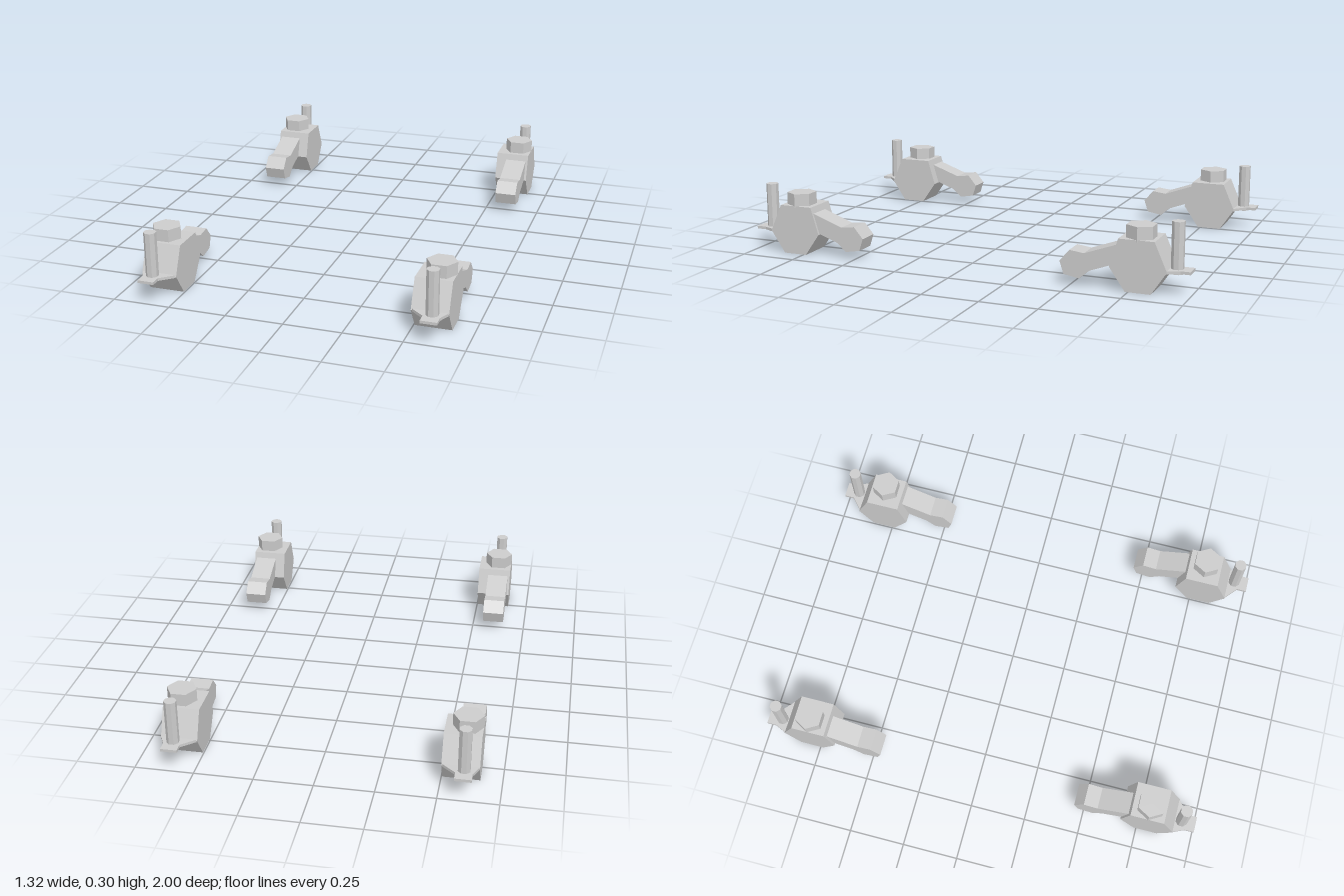
import * as THREE from 'three';

const steel = new THREE.MeshStandardMaterial({ color: 0xcccccc });
steel.name = 'plain grey';

// Profiles as [z, y], facing +z
const BODY = [[0.845, 0], [0.91, 0.097], [0.857, 0.217], [0.706, 0.217], [0.67, 0.097], [0.738, 0]];
const ARM = [[0.72, 0.197], [0.56, 0.139], [0.497, 0.147], [0.455, 0.097],
  [0.473, 0.043], [0.54, 0.031], [0.583, 0.068], [0.72, 0.118]];
// Plate outline as [x, z], for the +x side
const PLATE = [[0.505, 0.905], [0.565, 0.957], [0.565, 1], [0.635, 1], [0.635, 0.957], [0.659, 0.905]];

function extrude(points, depth) {
  const shape = new THREE.Shape(points.map(([a, b]) => new THREE.Vector2(a, b)));
  return new THREE.ExtrudeGeometry(shape, { depth, bevelEnabled: false }).translate(0, 0, -depth / 2);
}

// Side profile extruded across x
function slab(profile, sz, width, x) {
  return extrude(profile.map(([z, y]) => [z * sz, y]), width).rotateY(-Math.PI / 2).translate(x, 0, 0);
}

function prism(radius, height, sides, turn, x, y, z) {
  return new THREE.CylinderGeometry(radius, radius, height, sides)
    .rotateY(turn).toNonIndexed().translate(x, y, z);
}

function createUnit(sx, sz) {
  const unit = new THREE.Group();
  const add = (name, geometry) => {
    geometry.computeVertexNormals();
    const mesh = new THREE.Mesh(geometry, steel);
    mesh.name = name;
    unit.add(mesh);
  };
  add('body', slab(BODY, sz, 0.155, 0.582 * sx));
  add('arm', slab(ARM, sz, 0.098, 0.6 * sx));
  add('hexCap', prism(0.064, 0.062, 6, Math.PI / 2, 0.597 * sx, 0.24, 0.785 * sz));
  add('post', prism(0.027, 0.215, 8, Math.PI / 8, 0.599 * sx, 0.19, 0.936 * sz));
  // Flat tab carrying the post
  add('plate', extrude(PLATE.map(([x, z]) => [x * sx, z * sz]), 0.012)
    .rotateX(Math.PI / 2).translate(0, 0.097, 0));
  return unit;
}

export function createModel() {
  const model = new THREE.Group();
  model.name = 'cornerUnits';
  for (const sz of [1, -1]) {
    for (const sx of [1, -1]) {
      const unit = createUnit(sx, sz);
      unit.name = `${sz > 0 ? 'front' : 'back'}${sx > 0 ? 'Left' : 'Right'}Unit`;
      model.add(unit);
    }
  }
  return model;
}
